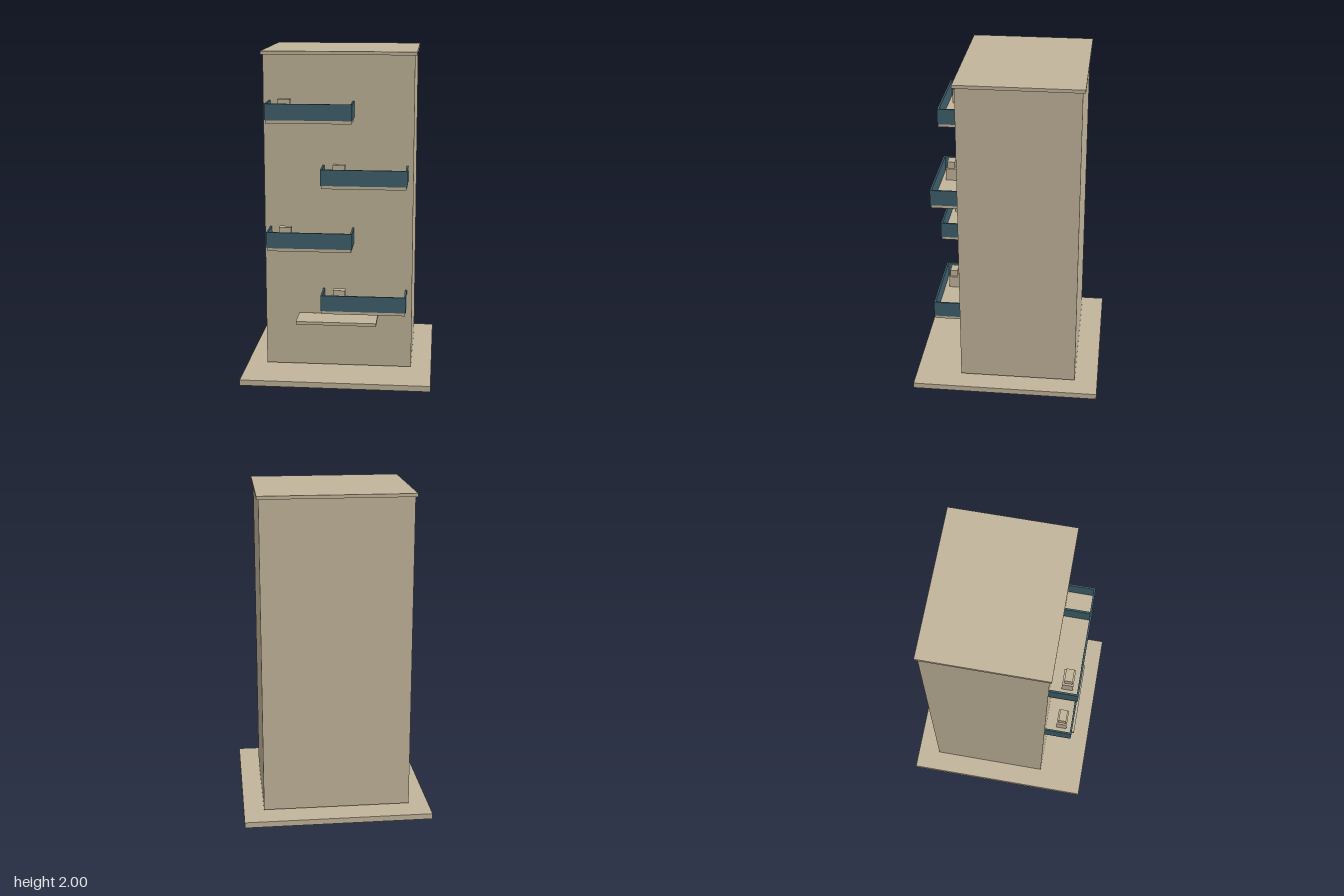
import * as THREE from 'three';

const concrete = new THREE.MeshStandardMaterial({ name: 'warm concrete', color: 0xc2b59b });
const panel = new THREE.MeshStandardMaterial({ name: 'blue railing panel', color: 0x3f606c });

// Box given by its lower and upper limits on each axis
function block(name, material, [x0, x1], [y0, y1], [z0, z1]) {
  const mesh = new THREE.Mesh(new THREE.BoxGeometry(x1 - x0, y1 - y0, z1 - z0), material);
  mesh.name = name;
  mesh.position.set((x0 + x1) / 2, (y0 + y1) / 2, (z0 + z1) / 2);
  return mesh;
}

const WALL_Z = 0.29; // front wall of the tower
const FRONT_Z = 0.457; // outer face of the railings
const HALF = 0.258; // half the balcony width
const T = 0.011; // railing thickness

// Balcony with its origin at the middle of the slab's underside
function createBalcony() {
  const g = new THREE.Group();
  g.name = 'balcony';
  const slabTop = 0.019, railTop = 0.116;
  g.add(
    block('balconySlab', concrete, [-HALF + 0.005, HALF - 0.005], [0, slabTop], [WALL_Z, FRONT_Z - 0.004]),
    block('frontRailing', panel, [-HALF, HALF], [slabTop, railTop], [FRONT_Z - T, FRONT_Z]),
    block('leftRailing', panel, [HALF - T, HALF], [slabTop, railTop], [WALL_Z, FRONT_Z - T]),
    block('rightRailing', panel, [-HALF, -HALF + T], [slabTop, railTop], [WALL_Z, FRONT_Z - T]),
    // planter with a narrower block of planting on top
    block('planter', concrete, [-0.198, -0.102], [slabTop, 0.095], [0.355, 0.419]),
    block('planting', concrete, [-0.187, -0.113], [0.095, 0.137], [0.364, 0.411])
  );
  return g;
}

export function createModel() {
  const model = new THREE.Group();
  model.name = 'apartmentTower';
  model.add(
    block('basePlate', concrete, [-0.578, 0.578], [0, 0.035], [-0.578, 0.578]),
    block('tower', concrete, [-0.453, 0.453], [0.046, 1.98], [-0.435, WALL_Z]),
    block('roofSlab', concrete, [-0.465, 0.465], [1.98, 2], [-0.45, 0.303]),
    block('entranceCanopy', concrete, [-0.244, 0.244], [0.365, 0.384], [0.3, 0.476])
  );

  // Balconies alternate from side to side, floor by floor
  for (let i = 0; i < 4; i++) {
    const balcony = createBalcony();
    balcony.position.set(i % 2 ? -0.163 : 0.163, 0.429 + i * 0.387, 0);
    model.add(balcony);
  }
  return model;
}
